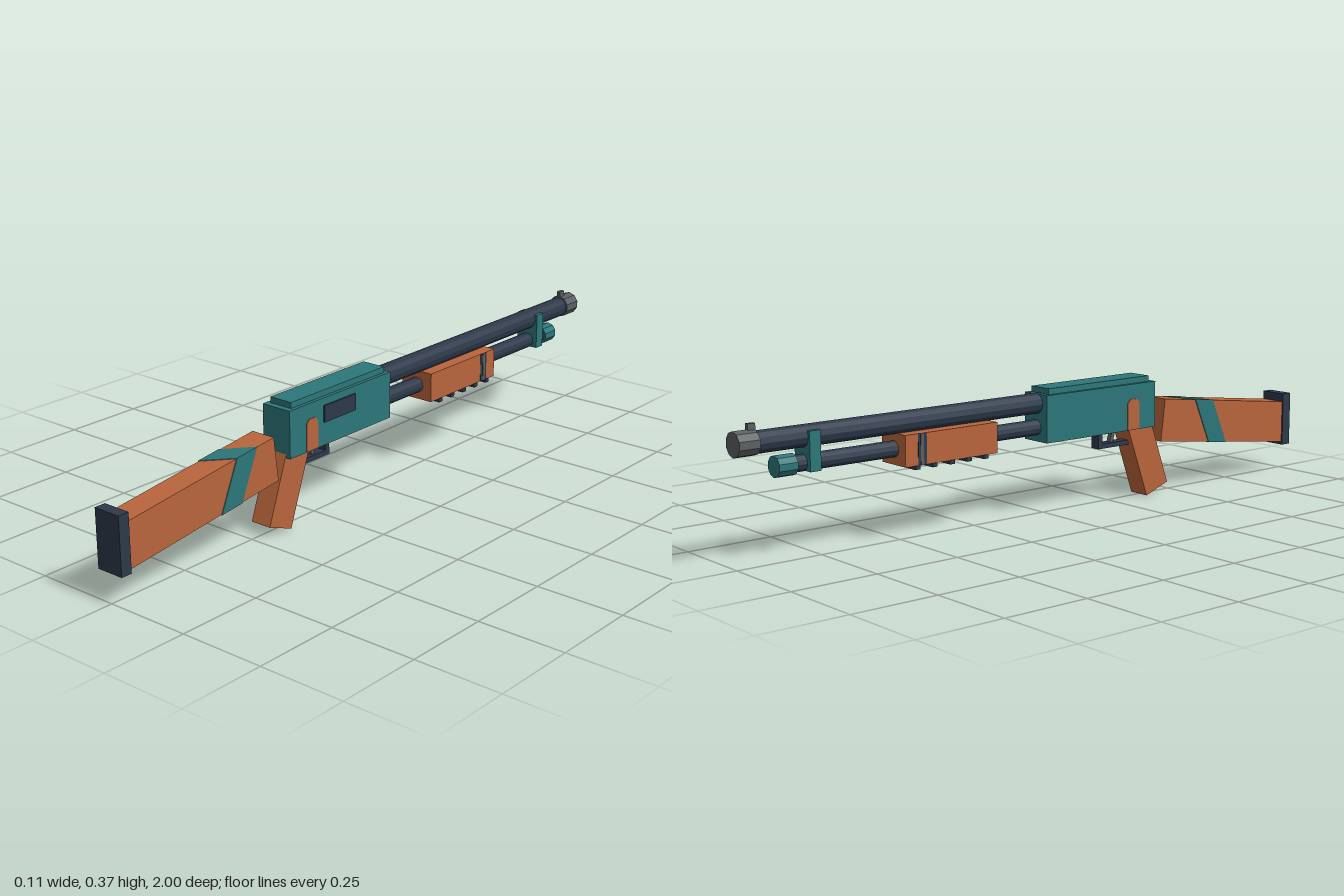
import * as THREE from 'three';

const mat = (name, color) => {
  const m = new THREE.MeshStandardMaterial({ color, flatShading: true });
  m.name = name;
  return m;
};

export function createModel() {
  const teal = mat('teal', 0x2c7679);
  const wood = mat('orange wood', 0xb9653c);
  const navy = mat('dark navy', 0x2d394a);
  const grey = mat('steel grey', 0x5a5f61);

  const root = new THREE.Group();
  root.name = 'pumpGun';

  const add = (name, geometry, material, parent = root) => {
    const m = new THREE.Mesh(geometry, material);
    m.name = name;
    parent.add(m);
    return m;
  };
  // Box given by its minimum and maximum on each axis
  const box = (name, material, [x0, x1], [y0, y1], [z0, z1]) => {
    const m = add(name, new THREE.BoxGeometry(x1 - x0, y1 - y0, z1 - z0), material);
    m.position.set((x0 + x1) / 2, (y0 + y1) / 2, (z0 + z1) / 2);
    return m;
  };
  // Cylinder lying along z
  const rod = (name, material, r, y, z0, z1, sides) => {
    const g = new THREE.CylinderGeometry(r, r, z1 - z0, sides).rotateX(Math.PI / 2);
    const m = add(name, g, material);
    m.position.set(0, y, (z0 + z1) / 2);
    return m;
  };

  // Receiver and its raised top
  box('receiver', teal, [-0.048, 0.048], [0.21, 0.346], [-0.025, 0.395]);
  box('receiverTop', teal, [-0.037, 0.037], [0.34, 0.363], [-0.01, 0.377]);
  box('ejectionPort', navy, [0.045, 0.053], [0.277, 0.325], [0.13, 0.26]);
  box('loadingPort', navy, [-0.025, 0.025], [0.204, 0.212], [0.095, 0.25]);

  // Wood inlays with clipped tops on both sides of the receiver
  const inlay = new THREE.Shape([
    [-0.023, 0.211], [0.023, 0.211], [0.023, 0.29], [0.012, 0.302], [-0.012, 0.302], [-0.023, 0.29],
  ].map(([x, y]) => new THREE.Vector2(x, y)));
  for (const s of [-1, 1]) {
    const g = new THREE.ExtrudeGeometry(inlay, { depth: 0.004, bevelEnabled: false });
    const m = add(s > 0 ? 'leftInlay' : 'rightInlay', g, wood);
    m.rotation.y = s * Math.PI / 2;
    m.position.set(s * 0.046, 0, 0.307);
  }

  // Barrel, muzzle and sight
  rod('barrel', navy, 0.03, 0.319, -0.95, 0, 12);
  rod('muzzle', grey, 0.034, 0.32, -1, -0.94, 10);
  box('frontSight', grey, [-0.006, 0.006], [0.345, 0.369], [-0.96, -0.938]);

  // Magazine tube, its cap and the bracket around both tubes
  rod('magazineTube', navy, 0.023, 0.25, -0.84, 0, 12);
  rod('magazineCap', teal, 0.029, 0.25, -0.885, -0.83, 10);
  box('barrelBracket', teal, [-0.036, 0.036], [0.23, 0.336], [-0.8, -0.767]);

  // Sliding fore-end with ribs underneath and a band on each side
  box('foreEnd', wood, [-0.053, 0.053], [0.207, 0.293], [-0.517, -0.207]);
  for (let i = 0; i < 5; i++) {
    const z = -0.25 - i * 0.0575;
    box('foreEndRib', navy, [-0.056, 0.056], [0.197, 0.208], [z - 0.008, z + 0.008]);
  }
  for (const s of [-1, 1]) {
    const band = box('foreEndBand', navy, [-0.001, 0.001], [0.207, 0.293], [-0.476, -0.448]);
    band.position.x = s * 0.053;
    const line = box('foreEndBandLine', grey, [-0.001, 0.001], [0.207, 0.293], [-0.468, -0.458]);
    line.position.x = s * 0.0542;
  }

  // Trigger guard and trigger
  box('guardBottom', navy, [-0.015, 0.015], [0.16, 0.174], [0.2, 0.33]);
  box('guardFront', navy, [-0.015, 0.015], [0.16, 0.212], [0.2, 0.216]);
  const trigger = box('trigger', grey, [-0.007, 0.007], [0.172, 0.216], [0.258, 0.27]);
  trigger.rotation.x = 0.3;

  // Slanted grip
  const grip = add('grip', new THREE.BoxGeometry(0.066, 0.22, 0.09), wood);
  grip.position.set(0, 0.119, 0.384);
  grip.rotation.x = -0.349;

  // Stock with a diagonal band wrapped around it
  const stock = new THREE.Group();
  stock.name = 'stock';
  stock.position.set(0, 0.189, 0.707);
  stock.rotation.x = 0.122;
  root.add(stock);
  add('stockBody', new THREE.BoxGeometry(0.076, 0.128, 0.54), wood, stock);
  const band = new THREE.BoxGeometry(0.079, 0.131, 0.076);
  const p = band.attributes.position;
  for (let i = 0; i < p.count; i++) {
    p.setZ(i, p.getZ(i) - 0.097 - 0.59 * p.getY(i) - 0.8 * p.getX(i));
  }
  band.computeVertexNormals();
  add('stockBand', band, teal, stock);
  box('buttPlate', navy, [-0.042, 0.042], [0.083, 0.247], [0.967, 1]);

  return root;
}
